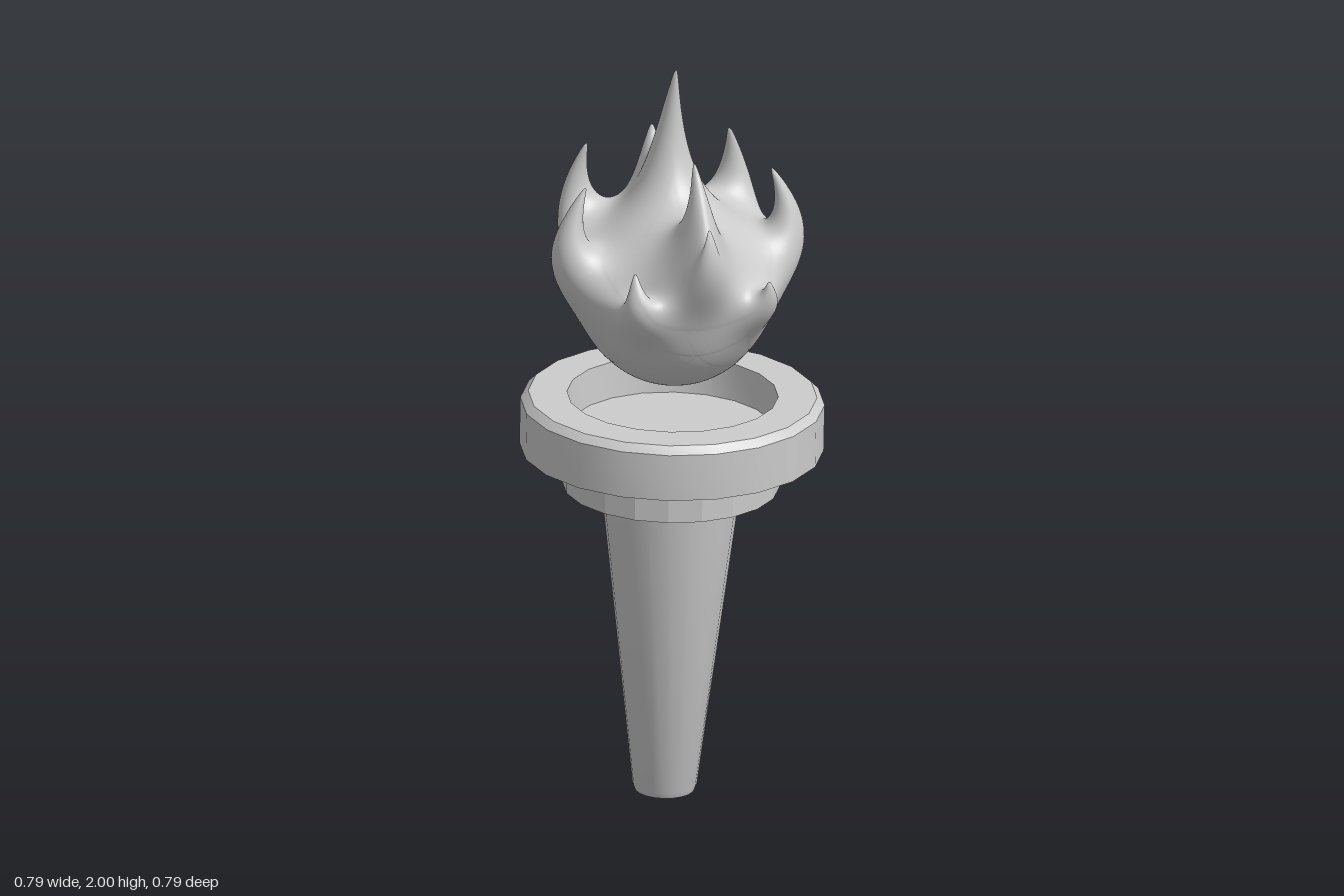
import * as THREE from 'three';
import { mergeVertices, toCreasedNormals } from 'three/addons/utils/BufferGeometryUtils.js';

const material = new THREE.MeshStandardMaterial({ color: 0xcccccc });
const SIDES = 20;

// Turned part from [radius, height] pairs; edges sharper than crease stay hard
function turned(name, profile, crease) {
  const points = profile.map(([r, y]) => new THREE.Vector2(r, y));
  const geometry = toCreasedNormals(new THREE.LatheGeometry(points, SIDES), crease);
  const mesh = new THREE.Mesh(geometry, material);
  mesh.name = name;
  return mesh;
}

// Flame: a ball whose surface is drawn out into curved, tapering tongues
const CENTRE = new THREE.Vector3(0, 1.395, 0.01);
const RADIUS = 0.25;

// A tongue leaves the ball along dir, then bends to its tip; spread is its angular width
function tongue(dir, tip, reach, spread) {
  const normal = new THREE.Vector3(...dir).normalize();
  const root = CENTRE.clone().addScaledVector(normal, RADIUS);
  const control = root.clone().addScaledVector(normal, reach);
  const path = new THREE.QuadraticBezierCurve3(root, control, new THREE.Vector3(...tip));
  // Direction along the path, from the derivative of the curve
  const tangent = (t, out) => out.subVectors(control, root).multiplyScalar(1 - t)
    .addScaledVector(path.v2, t).addScaledVector(control, -t).normalize();
  return { normal, root, path, tangent, spread };
}

function createFlame() {
  const tongues = [
    tongue([0, 1, -0.15], [0.01, 2.0, -0.005], 0.15, 0.21),      // crown
    tongue([0, 0.75, 0.7], [0, 1.81, 0.18], 0.12, 0.19),         // upper front
    tongue([0, 0.8, -0.6], [0, 1.76, -0.19], 0.1, 0.17),         // upper back
    tongue([0, 0.42, 0.9], [0, 1.65, 0.3], 0.11, 0.18),          // lower front
    tongue([0, -0.12, -1], [0, 1.56, -0.29], 0.1, 0.24),         // lower back
    tongue([-0.55, 0.15, 0.8], [-0.17, 1.54, 0.23], 0.07, 0.17), // front right
    tongue([0.55, 0.1, 0.8], [0.17, 1.5, 0.285], 0.07, 0.17),    // front left
  ];
  for (const s of [-1, 1]) {
    tongues.push(
      tongue([s * 0.62, 0.5, -0.55], [s * 0.19, 1.77, -0.14], 0.12, 0.23), // back corners
      tongue([s * 0.93, 0.4, 0.12], [s * 0.25, 1.72, 0.05], 0.12, 0.24),   // sides
    );
  }

  let geometry = new THREE.IcosahedronGeometry(1, 60);
  geometry.deleteAttribute('normal');
  geometry.deleteAttribute('uv');
  geometry = mergeVertices(geometry, 1e-5);

  const position = geometry.attributes.position;
  const d = new THREE.Vector3(), base = new THREE.Vector3(), moved = new THREE.Vector3();
  const offset = new THREE.Vector3(), along = new THREE.Vector3(), point = new THREE.Vector3();
  const turn = new THREE.Quaternion();
  for (let i = 0; i < position.count; i++) {
    d.fromBufferAttribute(position, i).normalize();
    base.copy(CENTRE).addScaledVector(d, RADIUS);
    moved.copy(base);
    for (const { normal, root, path, tangent, spread } of tongues) {
      const angle = Math.max(0, d.angleTo(normal) - 0.012);
      const w = Math.exp(-Math.pow(angle / spread, 1.2));
      if (w < 0.002) continue;
      // Carry the point along the path and turn its cross-section with it
      offset.subVectors(base, root);
      turn.setFromUnitVectors(normal, tangent(w, along));
      path.getPoint(w, point);
      moved.add(point).sub(root).sub(offset).add(offset.applyQuaternion(turn));
    }
    position.setXYZ(i, moved.x, moved.y, moved.z);
  }
  geometry.computeVertexNormals();
  const mesh = new THREE.Mesh(geometry, material);
  mesh.name = 'flame';
  return mesh;
}

export function createModel() {
  const model = new THREE.Group();
  model.name = 'torch';

  // Holder, leaning very slightly to one side
  const holder = new THREE.Group();
  holder.name = 'holder';
  holder.add(
    turned('handle', [[0, 0], [0.078, 0], [0.084, 0.015], [0.183, 0.85]], 0.4),
    turned('collar', [[0.17, 0.847], [0.283, 0.847], [0.283, 0.955]], 0.1),
    turned('bowl', [[0.26, 0.952], [0.396, 0.952], [0.396, 1.078], [0.376, 1.098],
      [0.275, 1.098], [0.268, 1.0], [0, 1.0]], 0.4),
  );
  holder.rotation.z = -0.02;
  holder.position.set(-0.024, 0.002, 0);

  model.add(holder, createFlame());
  return model;
}
